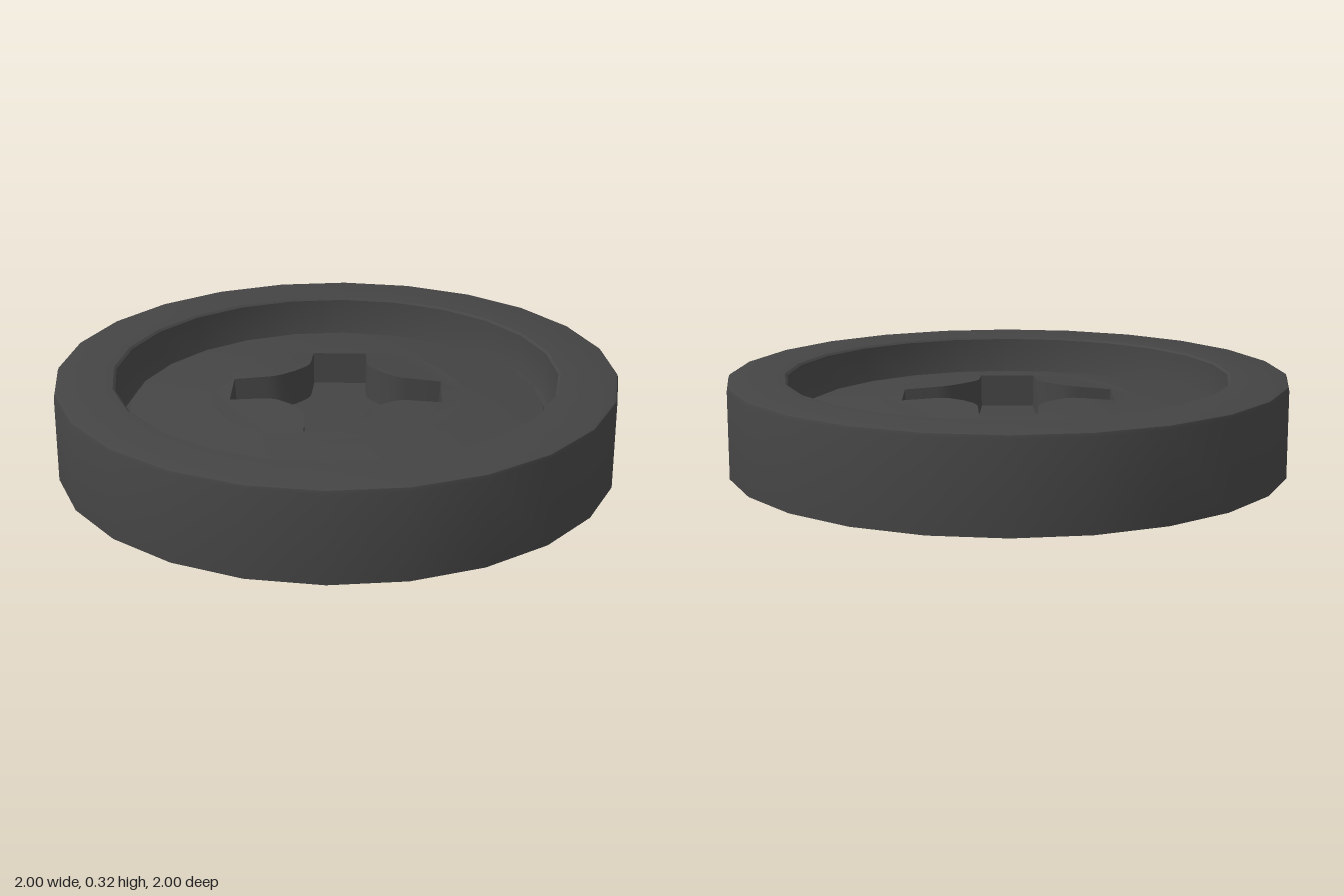
import * as THREE from 'three';
import { toCreasedNormals } from 'three/addons/utils/BufferGeometryUtils.js';

const SIDES = 24;
const POCKET_Y = 0.13;
const RING = 0.45; // radius where the plain dome meets the slotted centre
const domeY = (r) => 0.265 - 0.125 * r * r;

export function createModel() {
  const group = new THREE.Group();
  group.name = 'screwCap';
  const material = new THREE.MeshStandardMaterial({ color: 0x444444, side: THREE.DoubleSide });

  const add = (name, geometry) => {
    const mesh = new THREE.Mesh(toCreasedNormals(geometry, 0.6), material);
    mesh.name = name;
    group.add(mesh);
  };
  const lathe = (points) =>
    new THREE.LatheGeometry(points.map(([r, y]) => new THREE.Vector2(r, y)), SIDES);

  // Outer wall with softened top edge, flat rim, inner wall and narrow groove
  add('rim', lathe([
    [1, 0], [1, 0.31], [0.996, 0.321], [0.985, 0.325],
    [0.797, 0.325], [0.788, 0.318], [0.778, 0.18], [0.768, 0.162],
    [0.755, 0.162], [0.746, 0.175], [0.742, domeY(0.742)],
  ]));

  // Shallow domed face
  add('domedFace', lathe([0.742, 0.65, 0.55, RING].map((r) => [r, domeY(r)])));

  // Cross outline: one side notch repeated four times, arms on the diagonals
  const notch = [
    [0.195, 0.335], [0.11, 0.257], [0.09, 0.241], [0.06, 0.229], [0, 0.223],
    [-0.06, 0.229], [-0.09, 0.241], [-0.11, 0.257], [-0.195, 0.335],
  ];
  const cross = [];
  for (let i = 0; i < 4; i++) {
    for (const [x, y] of notch) {
      cross.push(new THREE.Vector2(x, y).rotateAround(new THREE.Vector2(), i * Math.PI / 2));
    }
  }
  const taper = 0.98;

  // Face centre with the cross cut out, lifted onto the dome
  const circle = Array.from({ length: SIDES }, (_, i) => {
    const a = (i / SIDES) * Math.PI * 2;
    return new THREE.Vector2(RING * Math.cos(a), RING * Math.sin(a));
  });
  const centre = new THREE.Shape(circle);
  centre.holes.push(new THREE.Path(cross));
  const centreGeometry = new THREE.ShapeGeometry(centre).rotateX(-Math.PI / 2);
  const p = centreGeometry.attributes.position;
  for (let i = 0; i < p.count; i++) p.setY(i, domeY(Math.hypot(p.getX(i), p.getZ(i))));
  add('faceCentre', centreGeometry);

  // Pocket walls facing inward, from the dome down to the pocket floor
  const positions = [];
  const index = [];
  const n = cross.length;
  cross.forEach((v, i) => {
    positions.push(v.x, domeY(v.length()), -v.y, v.x * taper, POCKET_Y, -v.y * taper);
    const a = 2 * i;
    const b = 2 * ((i + 1) % n);
    index.push(a, b, a + 1, b, b + 1, a + 1);
  });
  const walls = new THREE.BufferGeometry();
  walls.setAttribute('position', new THREE.Float32BufferAttribute(positions, 3));
  walls.setIndex(index);
  add('crossPocketWalls', walls);

  // Pocket floor
  const floor = new THREE.Shape(cross.map((v) => v.clone().multiplyScalar(taper)));
  add('crossPocketFloor', new THREE.ShapeGeometry(floor).rotateX(-Math.PI / 2).translate(0, POCKET_Y, 0));

  return group;
}
